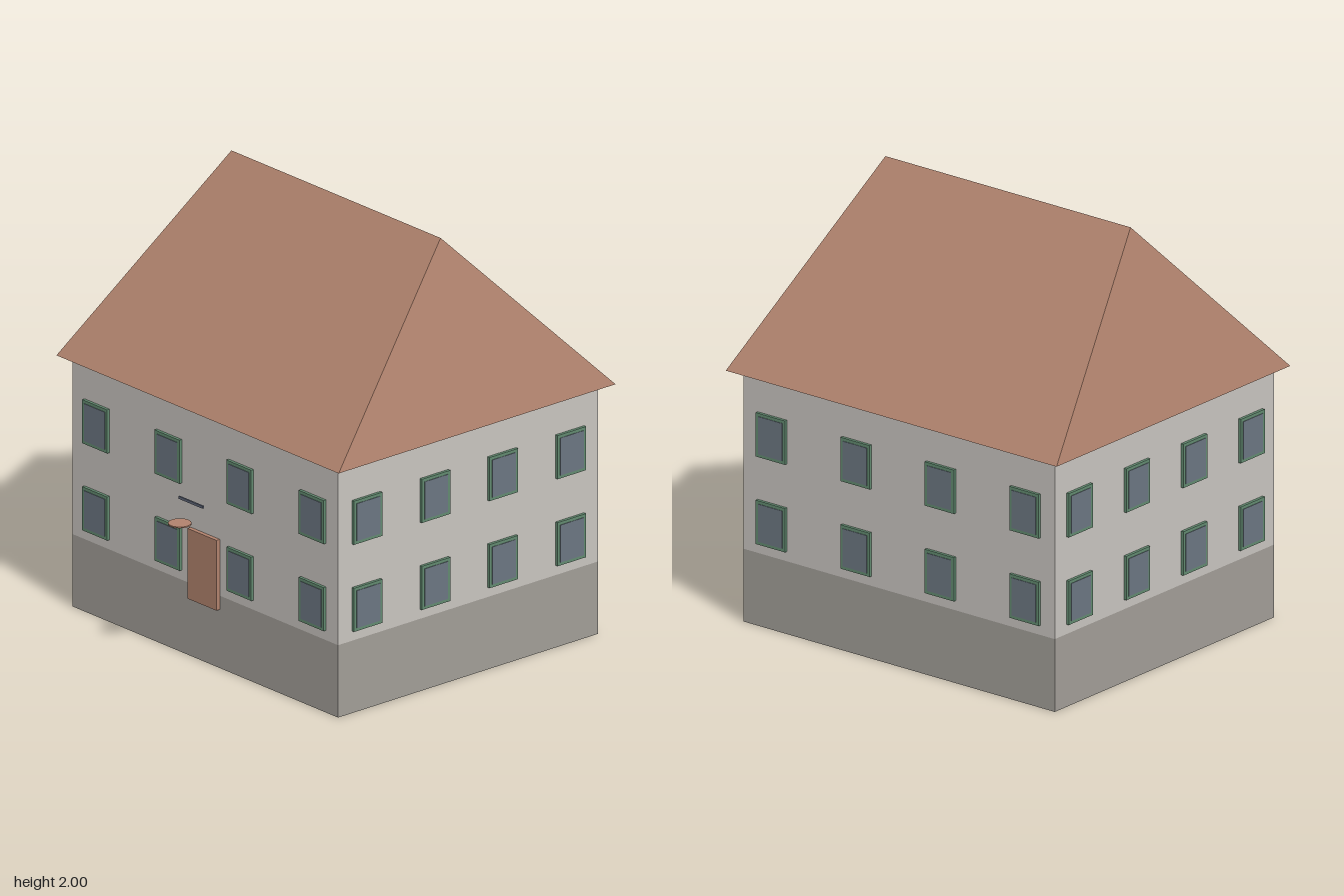
import * as THREE from 'three';

const material = (name, color) => new THREE.MeshStandardMaterial({ name, color });

export function createModel() {
  const house = new THREE.Group();
  house.name = 'house';
  const mats = {
    stone: material('plinth grey', 0xa19d97),
    plaster: material('plaster', 0xc8c4bf),
    clay: material('clay brown', 0xb0826d),
    glass: material('window glass', 0x6b7681),
    frame: material('frame green', 0x628a70),
    slate: material('slate blue', 0x5f6678),
  };
  const W = 0.88, D = 0.755, CZ = -0.075; // half width, half depth, centre z

  function add(parent, name, geometry, mat, x, y, z) {
    const mesh = new THREE.Mesh(geometry, mat);
    mesh.name = name;
    mesh.position.set(x, y, z);
    parent.add(mesh);
    return mesh;
  }
  const box = (parent, name, mat, w, h, d, x, y, z) =>
    add(parent, name, new THREE.BoxGeometry(w, h, d), mat, x, y, z);

  // Plinth and walls, stacked flush
  box(house, 'plinth', mats.stone, W * 2, 0.34, D * 2, 0, 0.17, CZ);
  box(house, 'walls', mats.plaster, W * 2, 0.835, D * 2, 0, 0.7575, CZ);

  // Hipped roof: a box whose top edge is pinched into a ridge
  const eaveY = 1.175, ridgeY = 2;
  const roof = new THREE.BoxGeometry(1.87, ridgeY - eaveY, 1.61).toNonIndexed();
  const p = roof.attributes.position;
  for (let i = 0; i < p.count; i++) {
    if (p.getY(i) > 0) {
      p.setX(i, Math.sign(p.getX(i)) * 0.693);
      p.setZ(i, 0);
    }
  }
  roof.computeVertexNormals();
  add(house, 'roof', roof, mats.clay, 0, (eaveY + ridgeY) / 2, -0.08);

  // Windows: four columns on two floors of every side
  function windowWall(name, columns, reach, angle) {
    const side = new THREE.Group();
    side.name = name;
    side.position.z = CZ;
    side.rotation.y = angle;
    for (const y of [0.488, 0.897]) {
      for (const x of columns) {
        box(side, 'windowFrame', mats.frame, 0.165, 0.205, 0.014, x, y, reach + 0.007);
        box(side, 'windowGlass', mats.glass, 0.136, 0.176, 0.004, x, y, reach + 0.0145);
      }
    }
    house.add(side);
  }
  const longColumns = [-0.717, -0.238, 0.238, 0.717];
  const shortColumns = [-0.592, -0.197, 0.197, 0.592];
  windowWall('frontWindows', longColumns, D, 0);
  windowWall('backWindows', longColumns, D, Math.PI);
  windowWall('leftWindows', shortColumns, W, Math.PI / 2);
  windowWall('rightWindows', shortColumns, W, -Math.PI / 2);

  // Entrance: door, sign bar and hanging disc
  box(house, 'door', mats.clay, 0.192, 0.33, 0.02, 0, 0.44, 0.69);
  box(house, 'signBar', mats.slate, 0.16, 0.012, 0.008, 0, 0.772, 0.762);
  add(house, 'signDisc', new THREE.CylinderGeometry(0.052, 0.052, 0.006, 16), mats.clay, 0, 0.69, 0.828);

  return house;
}
